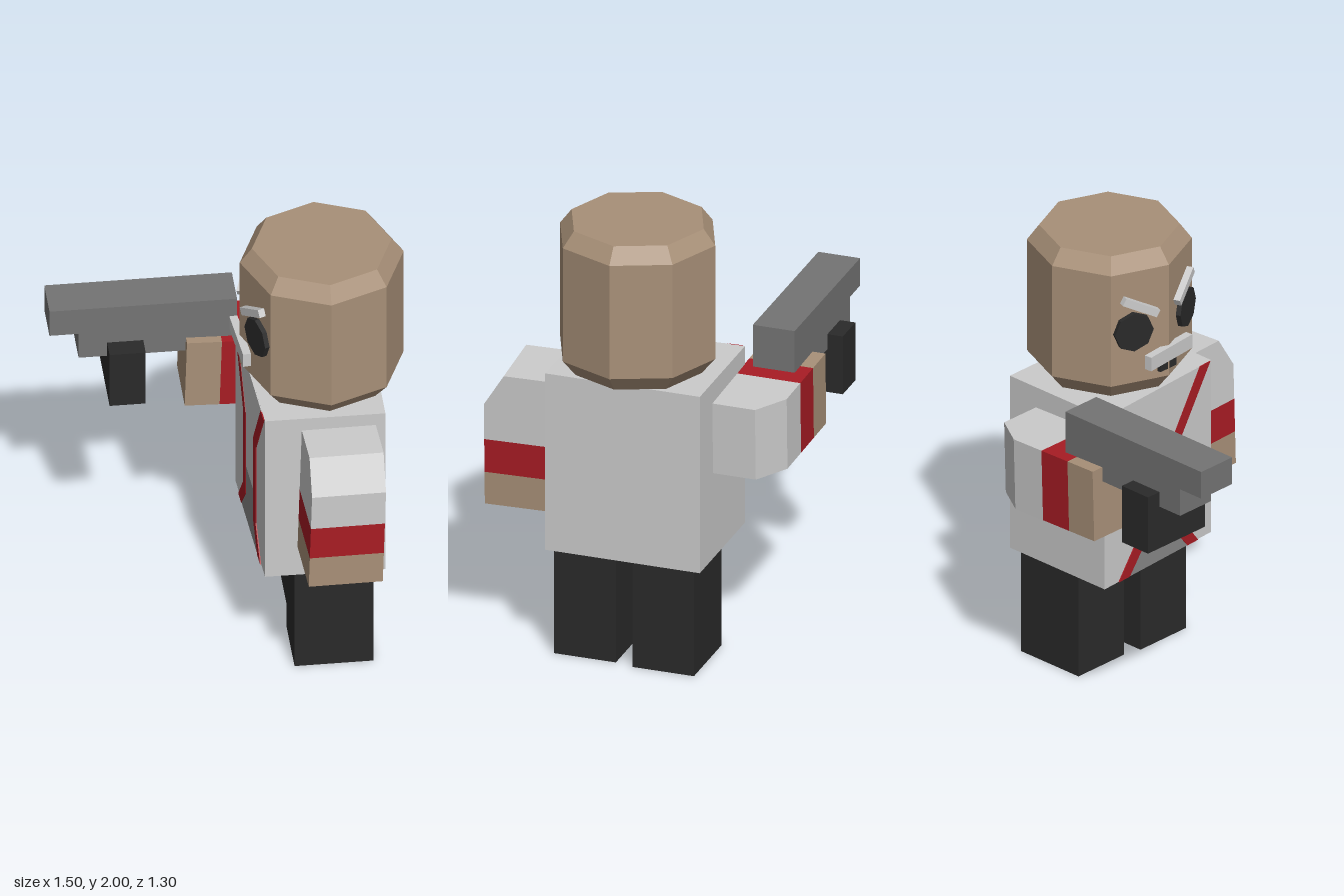
import * as THREE from 'three';

const mat = (color) => new THREE.MeshStandardMaterial({ color, flatShading: true });
const GREY = mat(0xcccccc), SKIN = mat(0xa89078), RED = mat(0xa81c24), BLACK = mat(0x2a2a2a);
const METAL = mat(0x747474), WHITE = mat(0xe4e4e4), DARK = mat(0x888888);
const TURN = 0.053; // slight turn of the whole figure, which faces -x

function add(parent, name, geometry, material, x = 0, y = 0, z = 0, ry = 0) {
  const mesh = new THREE.Mesh(geometry, material);
  mesh.name = name;
  mesh.position.set(x, y, z);
  mesh.rotation.y = ry;
  parent.add(mesh);
  return mesh;
}

const box = (w, h, d) => new THREE.BoxGeometry(w, h, d);

function extrude(points, depth) {
  const shape = new THREE.Shape(points.map(([x, y]) => new THREE.Vector2(x, y)));
  return new THREE.ExtrudeGeometry(shape, { depth, bevelEnabled: false });
}

// Arm in its own frame: x outward, y from hand to shoulder, z across
function makeArm(name, xAxis, yAxis, width) {
  const holder = new THREE.Group();
  holder.name = name;
  const arm = new THREE.Group();
  const w = 0.29;
  const sections = [
    ['hand', SKIN, [[0, 0], [w, 0], [w, 0.15], [0, 0.15]]],
    ['cuffBand', RED, [[0, 0.15], [w, 0.15], [w, 0.305], [0, 0.305]]],
    ['sleeve', GREY, [[0, 0.305], [w, 0.305], [w, 0.47], [0.2, 0.615], [0, 0.615]]],
  ];
  for (const [part, material, points] of sections)
    add(arm, part, extrude(points, width).translate(0, 0, -width / 2), material);
  const zAxis = new THREE.Vector3().crossVectors(xAxis, yAxis);
  arm.setRotationFromMatrix(new THREE.Matrix4().makeBasis(xAxis, yAxis, zAxis));
  holder.add(arm);
  return holder;
}

function makeHead() {
  const head = new THREE.Group();
  head.name = 'head';
  const profile = [[0, 1.325], [0.29, 1.325], [0.352, 1.4], [0.352, 1.93], [0.3, 2], [0, 2]];
  add(head, 'skull', new THREE.LatheGeometry(profile.map(([x, y]) => new THREE.Vector2(x, y)), 8), SKIN);

  // Eyes and slanted brows lie on the two facets beside the front edge
  for (const side of [-1, 1]) {
    const facet = new THREE.Group();
    facet.name = side > 0 ? 'leftFace' : 'rightFace';
    facet.rotation.y = -Math.PI / 2 + side * Math.PI / 8;
    const eye = new THREE.CylinderGeometry(0.09, 0.09, 0.03, 8).rotateX(Math.PI / 2);
    add(facet, 'eye', eye, BLACK, side * 0.035, 1.65, 0.332);
    const brow = add(facet, 'brow', box(0.18, 0.035, 0.03), GREY, side * 0.005, 1.765, 0.34);
    brow.rotation.z = side * 0.5;
    head.add(facet);
  }
  add(head, 'moustache', box(0.035, 0.065, 0.28), WHITE, -0.35, 1.513, 0, 0.09);
  add(head, 'mouth', box(0.03, 0.035, 0.1), BLACK, -0.335, 1.45, 0);
  return head;
}

function makeTorso() {
  const torso = new THREE.Group();
  torso.name = 'torso';
  // Footprint with a slightly slanted front
  const plan = [[-0.326, 0.368], [0.235, 0.368], [0.233, -0.335], [-0.283, -0.331]];
  add(torso, 'jacket', extrude(plan, 0.825).rotateX(-Math.PI / 2), GREY, 0, 0.5, 0);

  // Shirt opening and red jacket trim on the front
  const front = new THREE.Group();
  front.name = 'jacketFront';
  front.position.set(-0.3045, 0, -0.0185);
  front.rotation.y = -1.51;
  const shirt = [[-0.28, 1.325], [0.28, 1.325], [0.1, 1.05], [0.1, 0.77], [-0.1, 0.77], [-0.1, 1.05]];
  add(front, 'shirt', extrude(shirt, 0.003), WHITE);
  const lower = [[-0.1, 0.77], [0.1, 0.77], [0.1, 0.62], [0.2, 0.5], [-0.2, 0.5], [-0.1, 0.62]];
  add(front, 'shirtHem', extrude(lower, 0.003), DARK);
  const trim = [[0.34, 1.325], [0.27, 1.325], [0.09, 1.05], [0.09, 0.62], [0.19, 0.5],
    [0.26, 0.5], [0.15, 0.64], [0.15, 1.04]];
  for (const side of [-1, 1])
    add(front, 'trim', extrude(trim.map(([x, y]) => [side * x, y]), 0.005), RED);
  torso.add(front);
  return torso;
}

function makeGun() {
  const gun = new THREE.Group();
  gun.name = 'gun';
  const side = [[-0.405, 1.435], [-0.405, 1.307], [-0.28, 1.307], [-0.28, 1.18], [0.4, 1.18], [0.4, 1.435]];
  add(gun, 'gunBody', extrude(side, 0.19).translate(0, 0, -0.095), METAL);
  add(gun, 'magazine', box(0.155, 0.27, 0.35), BLACK, -0.08, 1.115, 0.01);
  gun.position.set(-0.345, 0, -0.465);
  gun.rotation.y = 0.05;
  return gun;
}

export function createModel() {
  const model = new THREE.Group();
  model.name = 'figure';

  const body = new THREE.Group();
  body.name = 'body';
  body.position.x = 0.395;
  body.rotation.y = TURN;
  body.add(makeHead(), makeTorso());
  model.add(body);

  for (const [name, z] of [['leftLeg', 0.17], ['rightLeg', -0.192]])
    add(model, name, box(0.34, 0.5, 0.28), BLACK, 0.42, 0.25, z, TURN);

  // One arm hangs, the other reaches forward with the gun
  const X = new THREE.Vector3(1, 0, 0), Y = new THREE.Vector3(0, 1, 0), Z = new THREE.Vector3(0, 0, 1);
  const hanging = makeArm('hangingArm', Z, Y, 0.32);
  hanging.position.set(0.427, 0.657, 0.342);
  hanging.rotation.set(0, 0.1, -0.03);
  const reaching = makeArm('reachingArm', Z.clone().negate(), X, 0.33);
  reaching.position.set(-0.163, 1.082, -0.338);
  reaching.rotation.set(0, 0.045, -0.03);
  model.add(hanging, reaching, makeGun());
  return model;
}
